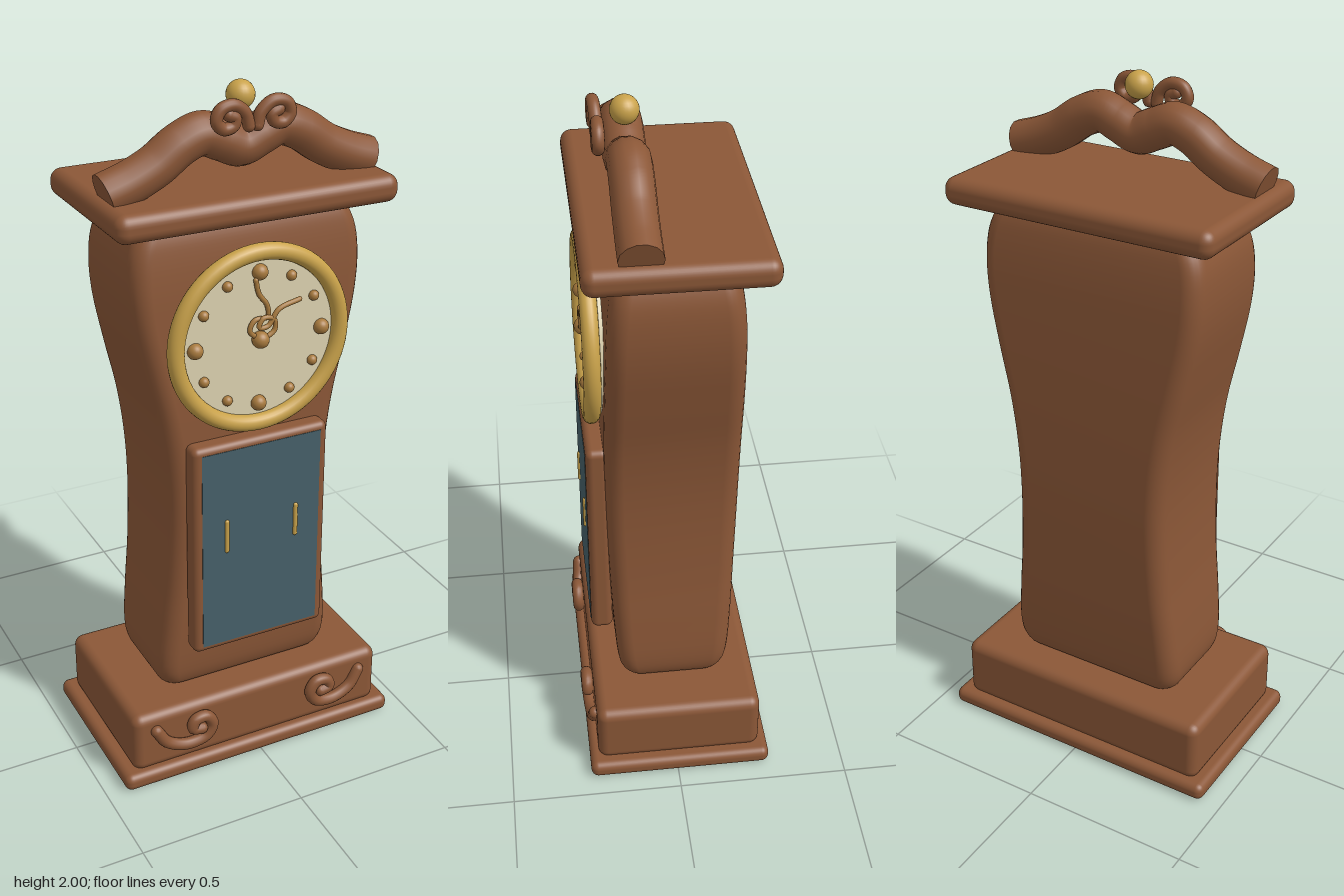
import * as THREE from 'three';
import { RoundedBoxGeometry } from 'three/addons/geometries/RoundedBoxGeometry.js';

const mat = (name, color) => Object.assign(new THREE.MeshStandardMaterial({ color }), { name });

export function createModel() {
  const wood = mat('wood', 0x8b5737);
  const gold = mat('gold', 0xc9a24a);
  const bronze = mat('bronze', 0xa87a3e);
  const ivory = mat('ivory', 0xddd2b0);
  const glass = mat('glass', 0x466069);

  const clock = new THREE.Group();
  clock.name = 'grandfatherClock';

  const add = (name, geometry, material, x = 0, y = 0, z = 0) => {
    const mesh = new THREE.Mesh(geometry, material);
    mesh.name = name;
    mesh.position.set(x, y, z);
    clock.add(mesh);
    return mesh;
  };
  // Rounded slab given by its bottom and top heights and back and front depths
  const slab = (name, halfW, y0, y1, z0, z1, r) =>
    add(name, new RoundedBoxGeometry(halfW * 2, y1 - y0, z1 - z0, 4, r), wood, 0, (y0 + y1) / 2, (z0 + z1) / 2);
  const ball = (name, r, material, x, y, z) => add(name, new THREE.SphereGeometry(r, 24, 16), material, x, y, z);
  const path = (points, side = 1) =>
    new THREE.CatmullRomCurve3(points.map(([x, y, z]) => new THREE.Vector3(x * side, y, z)));
  // Tube with closed round ends
  const rod = (name, points, r, material, side = 1, caps = true, segments = 64) => {
    const curve = path(points, side);
    add(name, new THREE.TubeGeometry(curve, segments, r, 14), material);
    if (caps) for (const t of [0, 1]) {
      const p = curve.getPoint(t);
      add(name + 'End', new THREE.SphereGeometry(r, 14, 10), material, p.x, p.y, p.z);
    }
    return curve;
  };

  // Base and cornice
  slab('plinth', 0.443, 0, 0.052, -0.277, 0.263, 0.022);
  slab('baseBlock', 0.407, 0.04, 0.232, -0.25, 0.238, 0.03);
  slab('cornice', 0.404, 1.66, 1.737, -0.25, 0.238, 0.032);

  // Waisted case: rounded rectangles lofted along (half width, height, half depth)
  const profile = path([
    [0.235, 0.228, 0.12], [0.258, 0.24, 0.142], [0.272, 0.27, 0.156], [0.277, 0.32, 0.165],
    [0.267, 0.45, 0.174], [0.252, 0.6, 0.18], [0.243, 0.8, 0.186], [0.248, 0.95, 0.188],
    [0.267, 1.1, 0.188], [0.3, 1.25, 0.186], [0.33, 1.4, 0.182], [0.338, 1.5, 0.178],
    [0.332, 1.58, 0.17], [0.315, 1.63, 0.16], [0.293, 1.662, 0.145], [0.26, 1.675, 0.12],
  ]).getPoints(75);
  const corner = 0.05, steps = 6, ring = 4 * (steps + 1);
  const positions = [], index = [];
  profile.forEach(({ x: w, y, z: d }) => {
    for (let c = 0; c < 4; c++) for (let s = 0; s <= steps; s++) {
      const a = (c + s / steps) * Math.PI / 2;
      const sx = c === 0 || c === 3 ? 1 : -1, sz = c < 2 ? 1 : -1;
      positions.push(sx * (w - corner) + corner * Math.cos(a), y, sz * (d - corner) + corner * Math.sin(a));
    }
  });
  for (let i = 0; i < profile.length - 1; i++) for (let j = 0; j < ring; j++) {
    const a = i * ring + j, b = i * ring + (j + 1) % ring;
    index.push(a, a + ring, b, b, a + ring, b + ring);
  }
  const last = (profile.length - 1) * ring;
  for (let j = 1; j < ring - 1; j++) index.push(0, j, j + 1, last, last + j + 1, last + j);
  const caseGeometry = new THREE.BufferGeometry();
  caseGeometry.setAttribute('position', new THREE.Float32BufferAttribute(positions, 3));
  caseGeometry.setIndex(index);
  caseGeometry.computeVertexNormals();
  add('case', caseGeometry, wood, 0, 0, -0.005);

  // Swan neck pediment
  const half = [[0.38, 1.752], [0.31, 1.775], [0.24, 1.808], [0.17, 1.855], [0.11, 1.875], [0.055, 1.855]];
  const neck = rod('pediment', [
    ...half.map(([x, y]) => [-x, y, 0.092]), [0, 1.834, 0.092],
    ...half.map(([x, y]) => [x, y, 0.092]).reverse(),
  ], 0.057, wood, 1, false, 96);
  for (const t of [0, 1]) {
    const p = neck.getPoint(t), out = neck.getTangent(t).multiplyScalar(t ? 1 : -1);
    const cap = add('pedimentEnd', new THREE.CircleGeometry(0.057, 14), wood, p.x, p.y, p.z);
    cap.lookAt(p.clone().add(out));
  }
  ball('finial', 0.038, gold, 0, 1.962, 0.092);

  // Carved scrolls on the pediment and base
  for (const side of [1, -1]) {
    rod('pedimentScroll', [
      [0.012, 1.9, 0.163], [0.022, 1.932, 0.163], [0.055, 1.957, 0.165], [0.092, 1.95, 0.166],
      [0.104, 1.922, 0.166], [0.085, 1.9, 0.166], [0.058, 1.905, 0.166], [0.052, 1.925, 0.166], [0.07, 1.934, 0.166],
    ], 0.0165, wood, side);
    rod('baseScroll', [
      [0.338, 0.178, 0.242], [0.305, 0.13, 0.246], [0.245, 0.107, 0.25], [0.185, 0.12, 0.253], [0.165, 0.158, 0.255],
      [0.185, 0.19, 0.255], [0.22, 0.186, 0.255], [0.228, 0.16, 0.255], [0.2, 0.152, 0.255],
    ], 0.018, wood, side);
  }

  // Dial
  const cy = 1.337;
  add('dialRing', new THREE.TorusGeometry(0.244, 0.0235, 20, 72), gold, 0, cy, 0.209);
  const dial = add('dialFace', new THREE.CylinderGeometry(0.24, 0.24, 0.03, 64), ivory, 0, cy, 0.19);
  dial.rotation.x = Math.PI / 2;
  for (let i = 0; i < 12; i++) {
    const a = i * Math.PI / 6;
    ball('hourMarker', i % 3 ? 0.0145 : 0.022, bronze, 0.188 * Math.sin(a), cy + 0.188 * Math.cos(a), 0.208);
  }
  ball('hub', 0.024, bronze, 0, cy, 0.216);
  rod('minuteHand', [
    [0, cy, 0.216], [-0.032, cy + 0.03, 0.216], [-0.018, cy + 0.058, 0.216], [0.02, cy + 0.062, 0.216],
    [0.018, cy + 0.095, 0.216], [-0.006, cy + 0.13, 0.216], [-0.016, cy + 0.17, 0.216],
  ], 0.007, bronze);
  rod('hourHand', [
    [0, cy, 0.222], [0.038, cy + 0.024, 0.222], [0.036, cy + 0.055, 0.222], [0.004, cy + 0.062, 0.222],
    [-0.008, cy + 0.038, 0.222], [0.018, cy + 0.038, 0.222], [0.05, cy + 0.08, 0.222], [0.112, cy + 0.098, 0.222],
  ], 0.007, bronze);

  // Door with glass pane and two pulls
  slab('doorFrame', 0.208, 0.397, 1.057, 0.17, 0.233, 0.02);
  add('doorGlass', new THREE.BoxGeometry(0.366, 0.618, 0.008), glass, 0, 0.727, 0.2305);
  for (const side of [1, -1]) {
    add('doorPull', new THREE.CapsuleGeometry(0.007, 0.092, 6, 12), gold, side * 0.108, 0.77, 0.234);
  }
  return clock;
}
